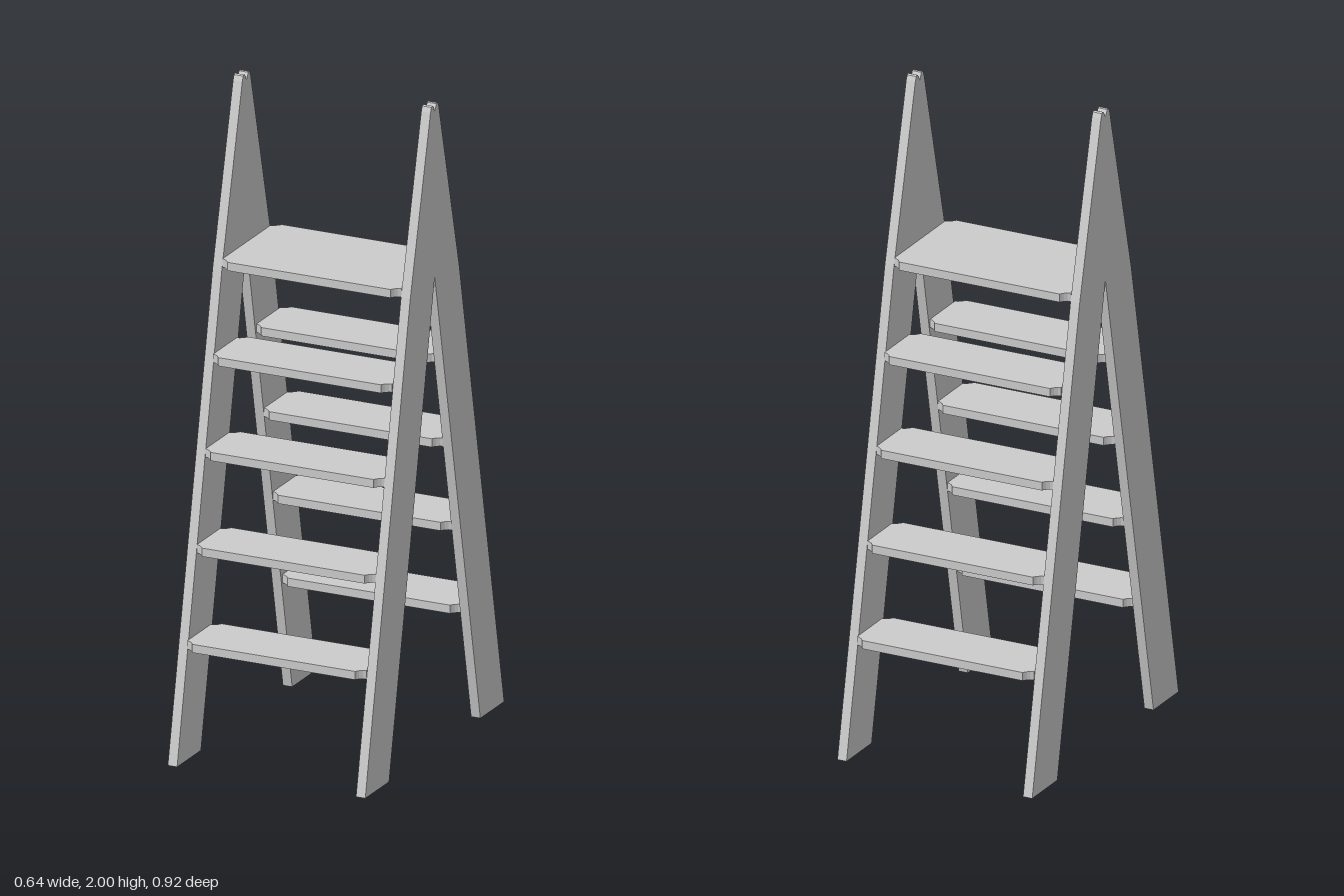
import * as THREE from 'three';

const material = new THREE.MeshStandardMaterial({ color: 0xcccccc, flatShading: true });
const INNER = 0.29, RAIL = 0.03, THICK = 0.026;

// A-shaped side frame: half outline as [z, y], mirrored front to back
function railGeometry() {
  const half = [[0, 1.978], [0.011, 1.998], [0.016, 2], [0.022, 1.997], [0.028, 1.982],
    [0.162, 1.45], [0.46, 0], [0.302, 0], [0, 1.465]];
  const back = half.slice(1, -1).reverse().map(([z, y]) => [-z, y]);
  const shape = new THREE.Shape([...half, ...back].map(([z, y]) => new THREE.Vector2(-z, y)));
  // Shape x becomes -z, extrusion runs along +x
  return new THREE.ExtrudeGeometry(shape, { depth: RAIL, bevelEnabled: false }).rotateY(Math.PI / 2);
}

// Board with scalloped corners, spanning the rails between z0 and z1
function treadGeometry(z0, z1) {
  const mid = (z0 + z1) / 2, h = (z1 - z0) / 2;
  const corner = [[INNER, h - 0.021], [0.281, h - 0.018], [0.272, h - 0.011], [0.267, h - 0.005], [0.264, h]];
  const flip = (sx, sz) => corner.map(([x, z]) => new THREE.Vector2(x * sx, z * sz));
  const shape = new THREE.Shape([
    ...flip(1, 1), ...flip(-1, 1).reverse(), ...flip(-1, -1), ...flip(1, -1).reverse(),
  ]);
  return new THREE.ExtrudeGeometry(shape, { depth: THICK, bevelEnabled: false })
    .rotateX(-Math.PI / 2)
    .translate(0, -THICK / 2, mid);
}

export function createModel() {
  const group = new THREE.Group();
  const add = (name, geometry, x, y) => {
    const mesh = new THREE.Mesh(geometry, material);
    mesh.name = name;
    mesh.position.set(x, y, 0);
    group.add(mesh);
  };

  // Side frames
  const rail = railGeometry();
  add('leftSideFrame', rail, INNER, 0);
  add('rightSideFrame', rail, -INNER - RAIL, 0);

  // Top platform
  add('topPlatform', treadGeometry(-0.18, 0.18), 0, 1.463);

  // Steps on both sides: [height, inner z, outer z]
  const steps = [[0.356, 0.217, 0.413], [0.633, 0.154, 0.349], [0.911, 0.095, 0.292], [1.188, 0.044, 0.242]];
  steps.forEach(([y, a, b], i) => {
    add(`frontStep${i + 1}`, treadGeometry(a, b), 0, y);
    add(`backStep${i + 1}`, treadGeometry(-b, -a), 0, y);
  });
  return group;
}
